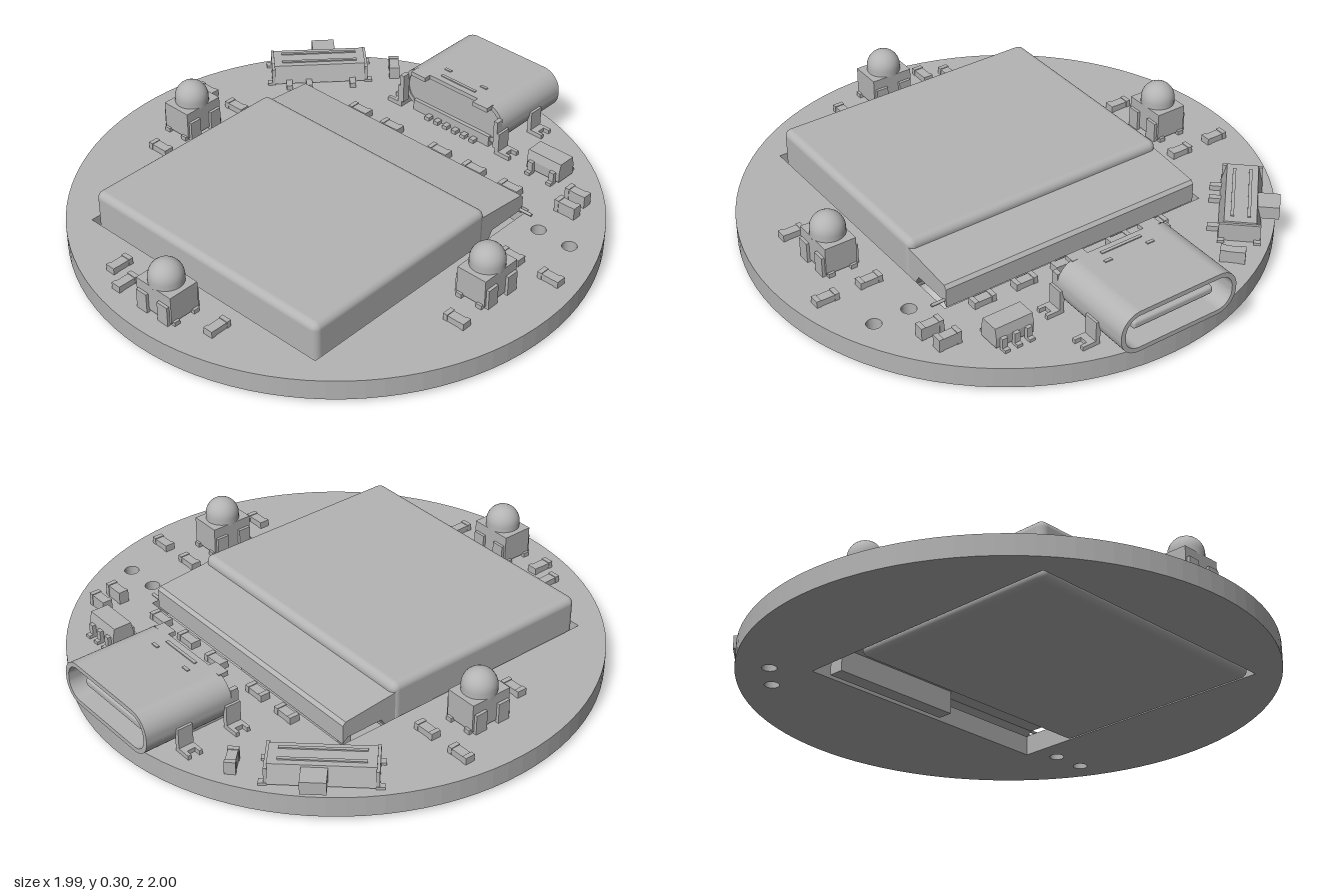
import * as THREE from 'three';
import { RoundedBoxGeometry } from 'three/addons/geometries/RoundedBoxGeometry.js';

const grey = new THREE.MeshStandardMaterial({ color: 0xb4b4b4 });
grey.name = 'plain grey';

const BOARD_BOTTOM = 0.015, BOARD_TOP = 0.095;

function add(parent, name, geometry, x = 0, y = 0, z = 0) {
  const mesh = new THREE.Mesh(geometry, grey);
  mesh.name = name;
  mesh.position.set(x, y, z);
  parent.add(mesh);
  return mesh;
}

// Box given by its width, depth and bottom/top heights
function block(parent, name, x, z, w, d, y0, y1) {
  return add(parent, name, new THREE.BoxGeometry(w, y1 - y0, d), x, (y0 + y1) / 2, z);
}

function group(parent, name, x = 0, z = 0, angle = 0) {
  const g = new THREE.Group();
  g.name = name;
  g.position.set(x, 0, z);
  g.rotation.y = angle;
  parent.add(g);
  return g;
}

function circle(x, z, r) {
  return new THREE.Path().absarc(x, -z, r, 0, Math.PI * 2, true);
}

function polygon(points) {
  return new THREE.Shape(points.map(([a, b]) => new THREE.Vector2(a, b)));
}

// Rounded rectangle around the origin
function roundRect(Type, w, h, r) {
  const p = new Type(), a = w / 2 - r, b = h / 2 - r;
  p.absarc(a, b, r, 0, Math.PI / 2);
  p.absarc(-a, b, r, Math.PI / 2, Math.PI);
  p.absarc(-a, -b, r, Math.PI, Math.PI * 1.5);
  p.absarc(a, -b, r, Math.PI * 1.5, Math.PI * 2);
  p.closePath();
  return p;
}

// Extrude a (z, y) profile across x, centred
function acrossX(points, width) {
  const g = new THREE.ExtrudeGeometry(polygon(points), { depth: width, bevelEnabled: false });
  return g.translate(0, 0, -width / 2).rotateY(-Math.PI / 2);
}

function buildBoard(root) {
  const shape = new THREE.Shape().absarc(0, -0.0075, 0.9925, 0, Math.PI * 2);
  const cut = [[-0.565, 0.43], [-0.565, -0.705], [0.56, -0.705], [0.56, 0.43]];
  shape.holes.push(new THREE.Path(cut.map(([x, y]) => new THREE.Vector2(x, y))));
  const holes = [[0.66, -0.36], [0.8, -0.36], [-0.69, -0.52], [-0.588, -0.63]];
  for (const [x, z] of holes) shape.holes.push(circle(x, z, 0.028));
  const g = new THREE.ExtrudeGeometry(shape, {
    depth: BOARD_TOP - BOARD_BOTTOM, bevelEnabled: false, curveSegments: 48,
  });
  add(root, 'circuitBoard', g.rotateX(-Math.PI / 2), 0, BOARD_BOTTOM, 0);
}

function buildBattery(root) {
  const battery = group(root, 'battery');
  add(battery, 'batteryCell', new RoundedBoxGeometry(1.1, 0.222, 0.88, 4, 0.028), -0.003, 0.111, 0.25);
  // Sealed flap behind the cell, with a hollow underside
  add(battery, 'batteryFlap', acrossX([
    [-0.16, 0.03], [-0.16, 0.195], [-0.19, 0.187], [-0.4, 0.168], [-0.412, 0.155],
    [-0.412, 0.08], [-0.39, 0.1], [-0.24, 0.1], [-0.2, 0.04],
  ], 1.09), -0.003);
  block(battery, 'flapFold', -0.23, -0.37, 0.55, 0.06, 0.01, 0.12);
  const wire = add(battery, 'batteryWire', new THREE.CylinderGeometry(0.006, 0.006, 0.07, 8), 0.56, 0.105, -0.4);
  wire.rotation.z = Math.PI / 2;
}

function buildLed(root, x, z, angle) {
  const led = group(root, 'led', x, z, angle);
  block(led, 'ledBody', 0, 0, 0.17, 0.125, 0.105, 0.215);
  const dome = [[0.065, 0.21], [0.065, 0.235]];
  for (let i = 1; i <= 8; i++) {
    const a = i / 8 * Math.PI / 2;
    dome.push([i === 8 ? 0 : 0.065 * Math.cos(a), 0.235 + 0.065 * Math.sin(a)]);
  }
  add(led, 'ledDome', new THREE.LatheGeometry(dome.map(([r, y]) => new THREE.Vector2(r, y)), 28));
  // Pins folded down the long sides, and feet at the corners
  for (const sx of [-1, 1]) for (const sz of [-1, 1]) {
    block(led, 'ledPin', sx * 0.052, sz * 0.066, 0.05, 0.016, BOARD_TOP, 0.175);
    block(led, 'ledFoot', sx * 0.085, sz * 0.045, 0.02, 0.025, BOARD_TOP, 0.112);
  }
}

function buildConnector(root) {
  const port = group(root, 'chargingPort', 0.004, 0);
  const shell = roundRect(THREE.Shape, 0.49, 0.17, 0.078);
  shell.holes.push(roundRect(THREE.Path, 0.454, 0.134, 0.06));
  const opts = { bevelEnabled: false, curveSegments: 10 };
  add(port, 'portShell', new THREE.ExtrudeGeometry(shell, { depth: 0.35, ...opts }), 0, 0.195, -1);
  // Rear edge of the shell steps back in the middle
  for (const s of [-1, 1]) {
    block(port, 'shellRearCorner', s * 0.155, -0.64, 0.07, 0.04, 0.262, 0.28);
    block(port, 'shellRearSide', s * 0.236, -0.635, 0.018, 0.03, 0.12, 0.24);
  }
  const plug = roundRect(THREE.Shape, 0.456, 0.136, 0.06);
  add(port, 'portCore', new THREE.ExtrudeGeometry(plug, { depth: 0.1, ...opts }), 0, 0.195, -0.755);
  add(port, 'portTongue', new RoundedBoxGeometry(0.34, 0.034, 0.24, 2, 0.012), 0, 0.195, -0.85);
  block(port, 'portBase', 0, -0.71, 0.38, 0.14, BOARD_TOP, 0.14);
  // Pressed tab on the top
  block(port, 'topTab', 0, -0.68, 0.17, 0.012, 0.278, 0.284);
  for (const s of [-1, 1]) block(port, 'topTabEnd', s * 0.09, -0.725, 0.03, 0.012, 0.278, 0.284);
  for (let i = 0; i < 6; i++) {
    block(port, 'portPin', -0.1 + i * 0.045, -0.64, 0.022, 0.05, BOARD_TOP, 0.11);
  }
  // Forked mounting legs
  for (const s of [-1, 1]) for (const z of [-0.85, -0.65]) {
    block(port, 'legUpright', s * 0.246, z, 0.018, 0.06, BOARD_TOP, 0.19);
    block(port, 'legFoot', s * 0.262, z, 0.04, 0.06, BOARD_TOP, 0.112);
    for (const e of [-1, 1]) block(port, 'legProng', s * 0.292, z + e * 0.023, 0.03, 0.014, BOARD_TOP, 0.112);
  }
}

function buildSwitch(root) {
  const sw = group(root, 'slideSwitch', -0.64, -0.574, 0.826);
  add(sw, 'switchBody', acrossX([[-0.077, 0.1], [0.077, 0.1], [0.058, 0.172], [-0.058, 0.172]], 0.365));
  for (const s of [-1, 1]) {
    block(sw, 'switchEndPlate', s * 0.186, 0, 0.012, 0.15, BOARD_TOP, 0.165);
    block(sw, 'switchTopRail', 0, s * 0.03, 0.3, 0.012, 0.17, 0.177);
    for (const e of [-1, 1]) block(sw, 'switchCornerFoot', s * 0.195, e * 0.065, 0.03, 0.025, BOARD_TOP, 0.105);
    add(sw, 'switchPeg', new THREE.CylinderGeometry(0.022, 0.022, 0.05, 16), s * 0.075, 0.08, 0);
  }
  block(sw, 'switchKnob', 0.024, -0.1, 0.09, 0.08, 0.115, 0.165);
  for (const x of [-0.125, -0.045, 0.13]) block(sw, 'switchPin', x, 0.092, 0.024, 0.05, BOARD_TOP, 0.115);
}

function buildChip(root) {
  const chip = group(root, 'regulatorChip', 0.468, -0.67);
  add(chip, 'chipBody', acrossX([
    [-0.042, 0.105], [0.042, 0.105], [0.044, 0.145], [0.036, 0.182], [-0.036, 0.182], [-0.044, 0.145],
  ], 0.152));
  for (const [x, s] of [[-0.05, -1], [0, -1], [0.05, -1], [-0.05, 1], [0.05, 1]]) {
    block(chip, 'chipPinShoulder', x, s * 0.05, 0.022, 0.016, BOARD_TOP, 0.145);
    block(chip, 'chipPinFoot', x, s * 0.062, 0.022, 0.022, BOARD_TOP, 0.107);
  }
}

// Small two-ended component with raised metal caps
function buildPassive(root, x, z, angle, top = 0.122) {
  const part = group(root, 'smallComponent', x, z, angle);
  block(part, 'componentBody', 0, 0, 0.06, 0.036, BOARD_TOP, top - 0.003);
  for (const s of [-1, 1]) block(part, 'componentCap', s * 0.036, 0, 0.018, 0.04, BOARD_TOP, top);
}

export function createModel() {
  const root = new THREE.Group();
  root.name = 'roundCircuitBoard';
  buildBoard(root);
  buildBattery(root);

  buildLed(root, 0, 0.848, 0);
  buildLed(root, -0.738, 0.035, Math.PI / 2);
  buildLed(root, 0.738, 0.035, -Math.PI / 2);

  buildConnector(root);
  buildSwitch(root);
  buildChip(root);

  const flat = [
    [-0.32, -0.475], [-0.155, -0.475], [0.09, -0.475], [0.26, -0.475], [0.435, -0.475],
    [-0.865, -0.16], [-0.695, -0.16], [0.695, -0.16], [0.87, -0.16],
    [-0.705, 0.235], [0.775, 0.235],
  ];
  for (const [x, z] of flat) buildPassive(root, x, z, 0);
  for (const [x, z] of [[-0.285, 0.817], [-0.195, 0.87], [0.21, 0.817]]) buildPassive(root, x, z, Math.PI / 2);
  for (const [x, z] of [[0.657, -0.593], [0.673, -0.51]]) buildPassive(root, x, z, 0, 0.145);
  buildPassive(root, -0.42, -0.785, -0.8, 0.145);
  return root;
}
